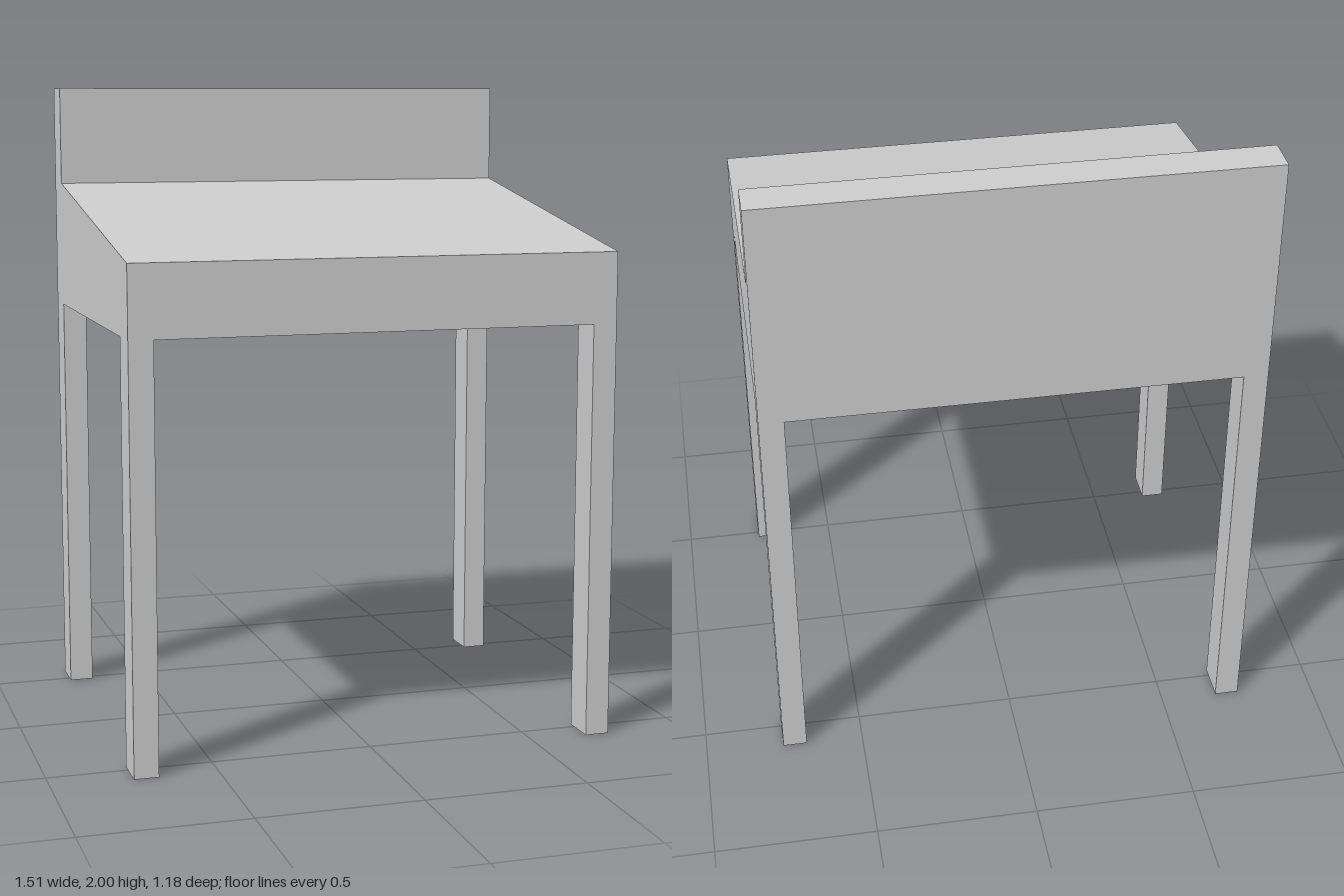
import * as THREE from 'three';

const HALF_W = 0.755, HALF_D = 0.59; // overall half width and half depth
const LEG_W = 0.075, LEG_D = 0.115, LEG_H = 1.29;
const BACK_Z = -0.475; // front face of the upright back

export function createModel() {
  const group = new THREE.Group();
  const material = new THREE.MeshStandardMaterial({ color: 0xcccccc, flatShading: true });

  // Sloping desk body with upright back: side profile (z, y) extruded across the width
  const profile = new THREE.Shape([
    [HALF_D, LEG_H], [HALF_D, 1.51], [BACK_Z, 1.69],
    [BACK_Z, 2], [-HALF_D, 2], [-HALF_D, LEG_H],
  ].map(([z, y]) => new THREE.Vector2(z, y)));
  const bodyGeometry = new THREE.ExtrudeGeometry(profile, { depth: 2 * HALF_W, bevelEnabled: false });
  bodyGeometry.rotateY(-Math.PI / 2).translate(HALF_W, 0, 0);
  const body = new THREE.Mesh(bodyGeometry, material);
  body.name = 'deskBody';
  group.add(body);

  // Four corner legs, flush with the outer faces of the body
  const legGeometry = new THREE.BoxGeometry(LEG_W, LEG_H, LEG_D);
  for (const [sx, side] of [[1, 'Left'], [-1, 'Right']]) {
    for (const [sz, end] of [[1, 'front'], [-1, 'back']]) {
      const leg = new THREE.Mesh(legGeometry, material);
      leg.name = `${end}${side}Leg`;
      leg.position.set(sx * (HALF_W - LEG_W / 2), LEG_H / 2, sz * (HALF_D - LEG_D / 2));
      group.add(leg);
    }
  }
  return group;
}
